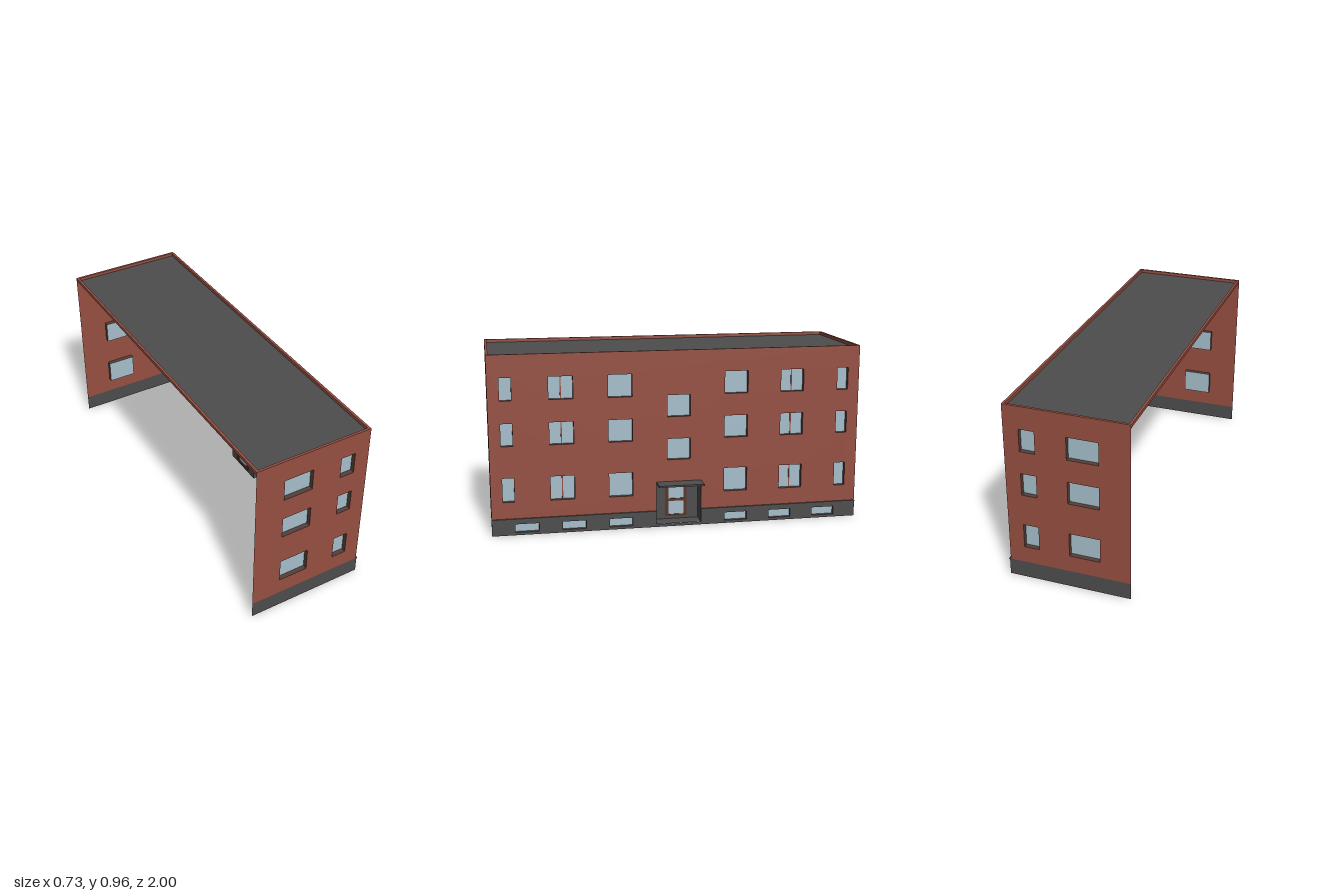
import * as THREE from 'three';

const mat = (color) => new THREE.MeshStandardMaterial({ color, side: THREE.DoubleSide });
const BRICK = mat(0x964f42), GREY = mat(0x4d4d4d), GLASS = mat(0xa6bfcc);
const REVEAL = mat(0x54403a), FRAME = mat(0x5a3426);

const X0 = -0.363, X1 = 0.275, XP = 0.28, TOP = 0.96, BASE = 0.09, ROOF = 0.943;

function add(parent, name, geometry, material, x = 0, y = 0, z = 0) {
  const mesh = new THREE.Mesh(geometry, material);
  mesh.name = name;
  mesh.position.set(x, y, z);
  parent.add(mesh);
  return mesh;
}

function box(parent, name, material, x0, x1, y0, y1, z0, z1) {
  return add(parent, name, new THREE.BoxGeometry(x1 - x0, y1 - y0, z1 - z0), material,
    (x0 + x1) / 2, (y0 + y1) / 2, (z0 + z1) / 2);
}

const rectPoints = ([u0, u1, v0, v1]) =>
  [[u0, v0], [u1, v0], [u1, v1], [u0, v1]].map((p) => new THREE.Vector2(...p));

// Flat sheet with rectangular openings
function sheet(outline, holes) {
  const shape = new THREE.Shape(outline);
  holes.forEach((h) => shape.holes.push(new THREE.Path(rectPoints(h).reverse())));
  return shape;
}

// Four-sided open tube lining an opening, running inward from z = 0
function lining([u0, u1, v0, v1], depth) {
  const g = new THREE.CylinderGeometry(Math.SQRT1_2, Math.SQRT1_2, 1, 4, 1, true)
    .rotateY(Math.PI / 4).rotateX(Math.PI / 2)
    .scale(u1 - u0, v1 - v0, depth)
    .translate((u0 + u1) / 2, (v0 + v1) / 2, -depth / 2).toNonIndexed();
  g.computeVertexNormals();
  return g;
}

function pane(parent, name, [u0, u1, v0, v1], z) {
  add(parent, name, new THREE.PlaneGeometry(u1 - u0, v1 - v0), GLASS, (u0 + u1) / 2, (v0 + v1) / 2, z);
}

// Recessed window with an optional central mullion
function windowUnit(parent, rect, depth, mullion) {
  const g = new THREE.Group();
  g.name = 'window';
  add(g, 'windowReveal', lining(rect, depth), REVEAL);
  pane(g, 'windowGlass', rect, -depth);
  if (mullion) {
    const c = (rect[0] + rect[1]) / 2;
    box(g, 'windowMullion', BRICK, c - 0.003, c + 0.003, rect[2], rect[3], -depth, -depth + 0.004);
  }
  parent.add(g);
}

function wall(parent, name, outline, windows, material, depth, mullions = () => false) {
  const g = new THREE.Group();
  g.name = name;
  add(g, name + 'Face', new THREE.ShapeGeometry(sheet(outline, windows)), material);
  windows.forEach((w) => windowUnit(g, w, depth, mullions(w)));
  parent.add(g);
  return g;
}

const FLOORS = [[0.18, 0.31], [0.48, 0.6], [0.72, 0.84]];

// Short end wall; side is +1 for the front, -1 for the back
function endWall(parent, side) {
  const span = (a, b) => (side > 0 ? [a, b] : [-b, -a]);
  const windows = FLOORS.flatMap((f) => [[-0.205, -0.045], [0.115, 0.195]].map((c) => [...span(...c), ...f]));
  const g = wall(parent, side > 0 ? 'frontWall' : 'backWall',
    rectPoints([...span(X0, X1), BASE, TOP]), windows, BRICK, 0.025);
  add(g, 'endPlinth', new THREE.ShapeGeometry(new THREE.Shape(rectPoints([...span(X0, XP), 0, BASE]))), GREY);
  g.position.z = side;
  if (side < 0) g.rotation.y = Math.PI;
}

// Long wall, built facing +z and turned to face +x
function longWall(parent) {
  const D = 0.123, H = 0.25, SILL = 0.015;
  const g = new THREE.Group();
  g.name = 'longWall';
  const cols = [[0.25, 0.377], [0.56, 0.687], [0.877, 0.938]];
  const both = (list) => list.flatMap(([a, b]) => [[a, b], [-b, -a]]);
  const windows = FLOORS.flatMap((f) => both(cols).map((c) => [...c, ...f]));
  windows.push([-0.062, 0.062, 0.37, 0.485], [-0.062, 0.062, 0.605, 0.722]);
  const pts = (list) => list.map((p) => new THREE.Vector2(...p));

  // Brickwork, notched for the entrance
  wall(g, 'longBrickwork', pts([[-1, BASE], [-D, BASE], [-D, H], [D, H], [D, BASE], [1, BASE], [1, TOP], [-1, TOP]]),
    windows, BRICK, 0.025, (w) => Math.abs(w[0] + w[1]) > 1.2 && Math.abs(w[0] + w[1]) < 1.3).position.z = X1;

  // Plinth with cellar windows
  const cellar = both([[0.253, 0.378], [0.503, 0.628], [0.753, 0.878]]).map((c) => [...c, 0.015, 0.06]);
  wall(g, 'longPlinth', pts([[-1, 0], [1, 0], [1, BASE], [D, BASE], [D, SILL], [-D, SILL], [-D, BASE], [-1, BASE]]),
    cellar, GREY, 0.02).position.z = XP;
  for (const [a, b] of [[-1, -D], [D, 1]]) box(g, 'plinthLedge', GREY, a, b, 0.084, BASE, X1, 0.285);

  // Entrance recess, door and canopy
  const depth = 0.09, back = XP - depth;
  const entrance = new THREE.Group();
  entrance.name = 'entrance';
  const opening = [-D, D, SILL, H], door = [-0.06, 0.06, 0.03, 0.245];
  add(entrance, 'entranceLining', lining(opening, depth), GREY, 0, 0, XP - 0.002);
  add(entrance, 'entranceBack', new THREE.ShapeGeometry(sheet(rectPoints(opening), [door])), GREY, 0, 0, back);
  const panes = [[-0.043, 0.043, 0.04, 0.116], [-0.043, 0.043, 0.13, 0.235]];
  add(entrance, 'doorFrame', new THREE.ExtrudeGeometry(sheet(rectPoints(door), panes),
    { depth: 0.01, bevelEnabled: false }), FRAME, 0, 0, back - 0.005);
  panes.forEach((p) => pane(entrance, 'doorGlass', p, back));
  box(entrance, 'canopy', GREY, -D, D, 0.241, H, X1, 0.363);
  g.add(entrance);

  g.rotation.y = Math.PI / 2;
  parent.add(g);
}

// Roof slab surface inside a thin brick parapet; the -x side stays open below
function roof(parent) {
  const W = 0.013;
  add(parent, 'roof', new THREE.PlaneGeometry(X1 - X0, 2).rotateX(-Math.PI / 2), GREY, (X0 + X1) / 2, ROOF, 0);
  const ring = sheet(rectPoints([X0, X1, -1, 1]), [[X0 + W, X1 - W, -1 + W, 1 - W]]);
  const g = new THREE.ExtrudeGeometry(ring, { depth: TOP - ROOF, bevelEnabled: false }).rotateX(-Math.PI / 2);
  add(parent, 'parapet', g, BRICK, 0, ROOF, 0);
}

export function createModel() {
  const model = new THREE.Group();
  model.name = 'building';
  endWall(model, 1);
  endWall(model, -1);
  longWall(model);
  roof(model);
  return model;
}
